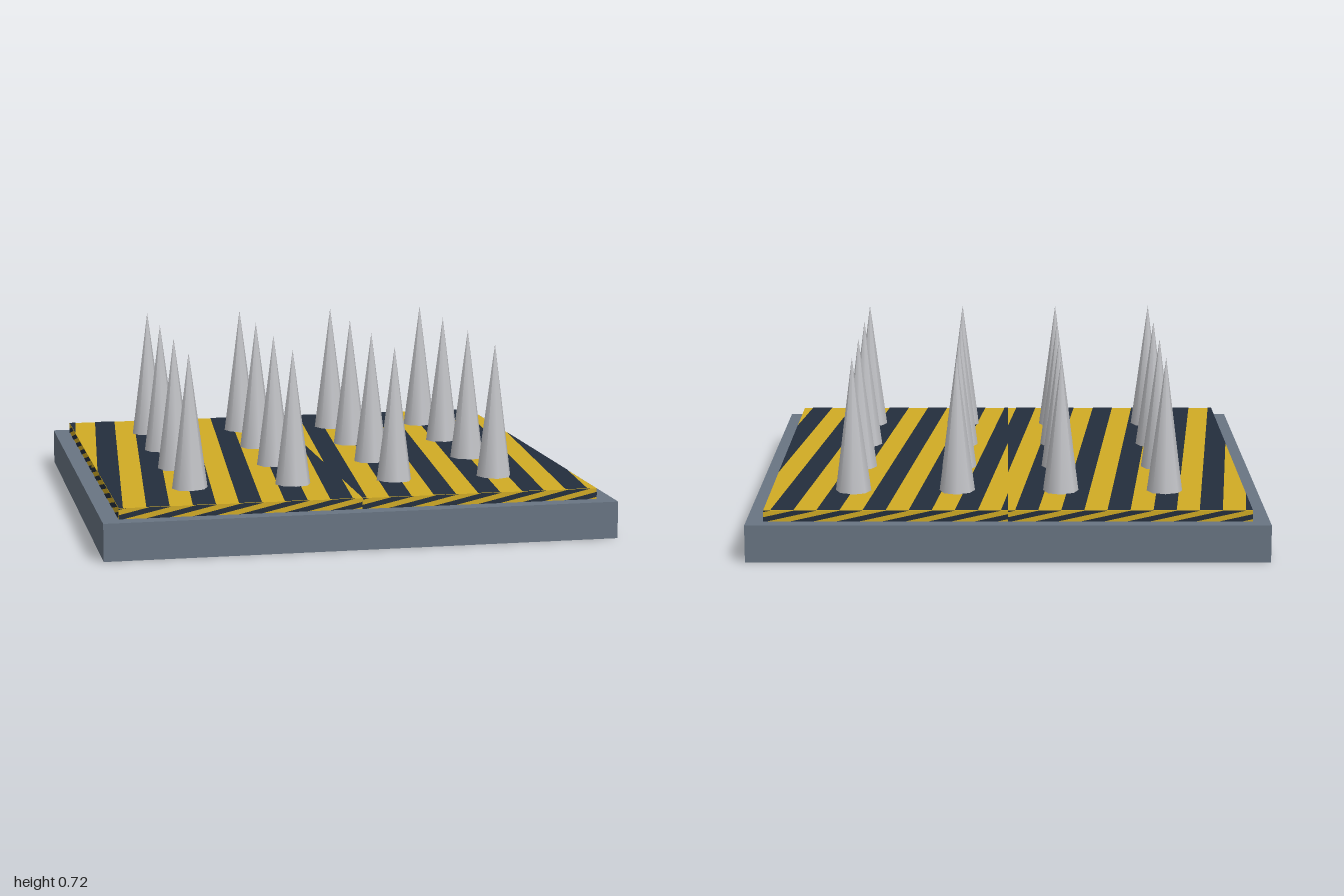
import * as THREE from 'three';

const mat = (name, color, side = THREE.FrontSide) => {
  const m = new THREE.MeshStandardMaterial({ color, side });
  m.name = name;
  return m;
};

// Keep the part of a polygon where sign * x >= sign * limit
function clipX(points, limit, sign) {
  const out = [];
  const inside = (p) => sign * (p.x - limit) >= 0;
  points.forEach((p, i) => {
    const q = points[(i + 1) % points.length];
    if (inside(p)) out.push(p);
    if (inside(p) !== inside(q)) out.push(p.clone().lerp(q, (limit - p.x) / (q.x - p.x)));
  });
  return out;
}

// Slanted hazard stripes over a width x height face, in two repeats side by side
function stripeGeometry(width, height) {
  const period = 0.176, lean = 0.187, first = 0.027, tile = width / 2;
  const shapes = [];
  for (const start of [-tile, 0]) {
    for (let k = 0; k < 8; k++) {
      const right = start + first + k * period, left = right - period / 2;
      let points = [
        new THREE.Vector2(left - lean, -height / 2),
        new THREE.Vector2(right - lean, -height / 2),
        new THREE.Vector2(right, height / 2),
        new THREE.Vector2(left, height / 2),
      ];
      points = clipX(clipX(points, start, 1), start + tile, -1);
      if (points.length > 2) shapes.push(new THREE.Shape(points));
    }
  }
  return new THREE.ShapeGeometry(shapes);
}

export function createModel() {
  const group = new THREE.Group();
  group.name = 'spikeTrap';
  const slate = mat('slate', 0x697583);
  const yellow = mat('warning yellow', 0xd2ac24);
  const navy = mat('dark navy', 0x232e3d);
  const steel = mat('steel', 0xc2c3c7);

  const add = (name, geometry, material, x = 0, y = 0, z = 0) => {
    const mesh = new THREE.Mesh(geometry, material);
    mesh.name = name;
    mesh.position.set(x, y, z);
    group.add(mesh);
    return mesh;
  };

  // Base slab and raised plate
  const baseH = 0.145, plateH = 0.042, plateW = 1.868, gap = 0.0015;
  const plateTop = baseH + plateH;
  add('base', new THREE.BoxGeometry(2, baseH, 2), slate, 0, baseH / 2, 0);
  add('plate', new THREE.BoxGeometry(plateW, plateH, plateW), yellow, 0, baseH + plateH / 2, 0);

  // Stripes on the top and the four sides of the plate
  add('topStripes', stripeGeometry(plateW, plateW).rotateX(-Math.PI / 2), navy, 0, plateTop + gap, 0);
  const sideStripes = stripeGeometry(plateW, plateH).translate(0, 0, plateW / 2 + gap);
  for (let i = 0; i < 4; i++) {
    add('sideStripes', sideStripes, navy, 0, baseH + plateH / 2, 0).rotation.y = i * Math.PI / 2;
  }

  // Four by four grid of spikes
  const tip = 0.72, spikeH = tip - plateTop;
  const spike = new THREE.ConeGeometry(0.07, spikeH, 8, 1, true);
  const places = [-0.617, -0.208, 0.2, 0.609];
  for (const x of places) {
    for (const z of places) add('spike', spike, steel, x, plateTop + spikeH / 2, z);
  }
  return group;
}
